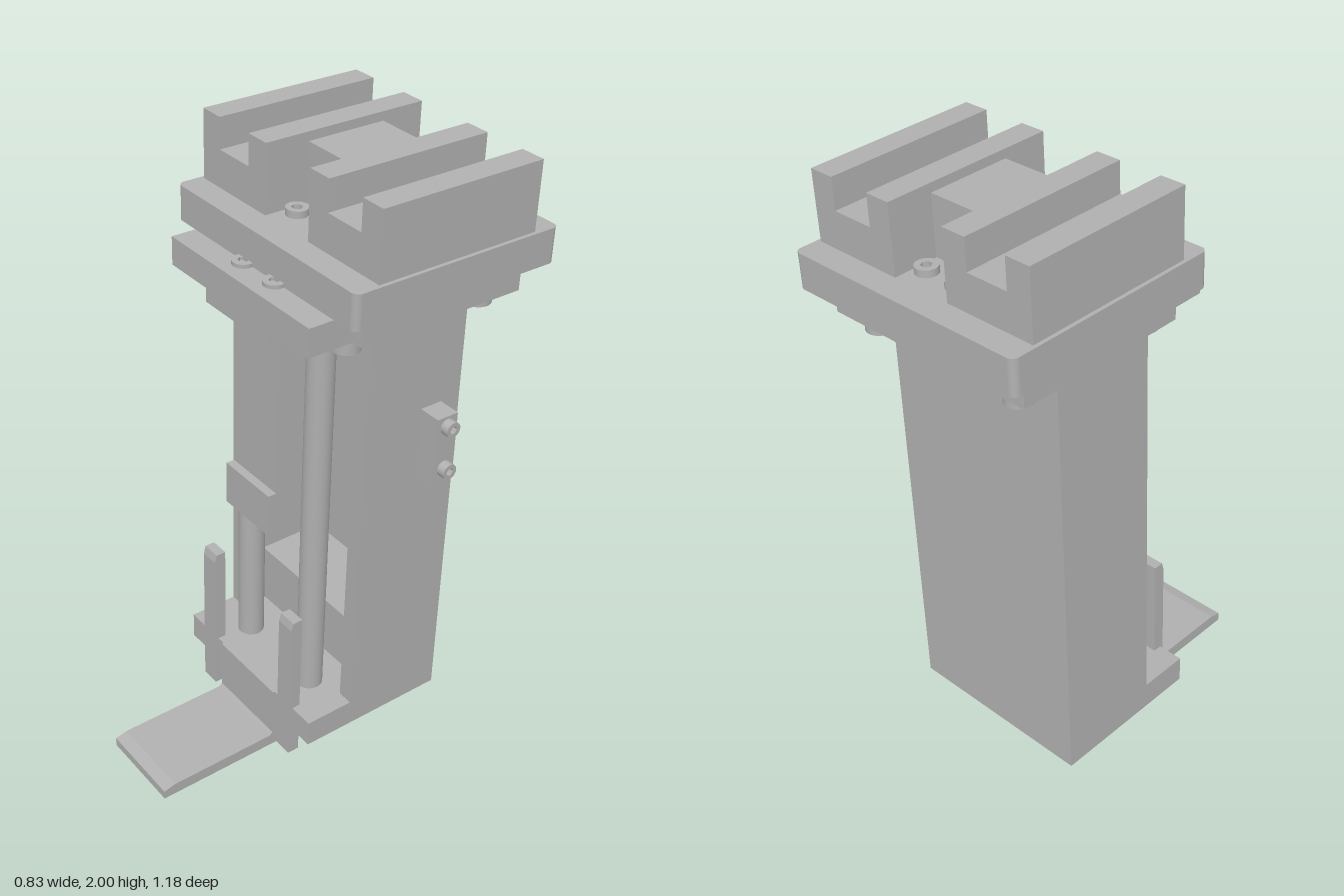
import * as THREE from 'three';

export function createModel() {
  const root = new THREE.Group();
  root.name = 'clampColumn';
  const steel = new THREE.MeshStandardMaterial({ color: 0xb0b0b0 });
  steel.name = 'plainSteel';
  const body = new THREE.Group();
  body.name = 'leaningBody';
  body.rotation.z = -0.041; // the whole column leans slightly
  root.add(body);
  const MID = -0.0715; // centre line of the column

  function add(name, geometry, x = 0, y = 0, z = 0) {
    const mesh = new THREE.Mesh(geometry, steel);
    mesh.name = name;
    mesh.position.set(x, y, z);
    body.add(mesh);
    return mesh;
  }
  // box given by its limits on each axis
  const box = (name, x0, x1, y0, y1, z0, z1) =>
    add(name, new THREE.BoxGeometry(x1 - x0, y1 - y0, z1 - z0),
      (x0 + x1) / 2, (y0 + y1) / 2, (z0 + z1) / 2);
  const polygon = (pts) => new THREE.Shape(pts.map(([x, y]) => new THREE.Vector2(x, y)));
  const extrude = (shape, depth) =>
    new THREE.ExtrudeGeometry(shape, { depth, bevelEnabled: false, curveSegments: 24 });
  // socket head screw: y0 is the seat, the head points along the given direction
  const up = new THREE.Vector3(0, 0, 1);
  function screw(name, x, y, z, r, h, dir) {
    const ring = new THREE.Shape().absarc(0, 0, r, 0, Math.PI * 2);
    const hex = new THREE.Path();
    for (let i = 0; i <= 6; i++) {
      const a = -i * Math.PI / 3;
      hex[i ? 'lineTo' : 'moveTo'](Math.cos(a) * r * 0.5, Math.sin(a) * r * 0.5);
    }
    ring.holes.push(hex);
    const q = new THREE.Quaternion().setFromUnitVectors(up, new THREE.Vector3(...dir));
    add(name, extrude(ring, h), x, y, z).quaternion.copy(q);
    const floor = add(name + 'Socket', new THREE.CircleGeometry(r * 0.6, 6), x, y, z);
    floor.quaternion.copy(q);
    floor.position.addScaledVector(new THREE.Vector3(...dir), Math.min(0.002, h / 2));
  }
  const UP = [0, 1, 0], DOWN = [0, -1, 0], RIGHT = [1, 0, 0];

  // Housing: open-fronted box with a raised floor block
  const frame = polygon([[-0.394, 0.137], [0.251, 0.137], [0.251, 1.57], [-0.394, 1.57]]);
  frame.holes.push(polygon([[-0.346, 0.227], [-0.346, 1.403], [0.199, 1.403], [0.199, 0.227]]));
  add('housingWalls', extrude(frame, 0.32), 0, 0, -0.32);
  box('housingBack', -0.394, 0.251, 0.137, 1.57, -0.35, -0.32);
  box('housingFloorBlock', -0.346, 0.199, 0.227, 0.432, -0.32, -0.09);
  box('baseLedge', -0.394, 0.251, 0.137, 0.227, 0, 0.165);

  // Guide rods with screws below the ledge, and screws under the flange
  for (const side of [-1, 1]) {
    const rodX = MID + side * 0.161;
    add('guideRod', new THREE.CylinderGeometry(0.043, 0.043, 1.35, 32), rodX, 0.9, 0.041);
    screw('rodScrew', rodX, 0.137, 0.037, 0.035, 0.038, DOWN);
    for (const z of [0.043, -0.437])
      screw('flangeScrew', MID + side * 0.27, 1.567, z, 0.043, 0.05, DOWN);
    for (const z of [-0.27, -0.11])
      screw('bottomScrew', MID + side * 0.26, 0.137, z, 0.03, 0.003, DOWN);
    // upright fingers beside the foot, with chamfered tips
    const finger = polygon([[0.137, 0.038], [0.177, 0.038], [0.177, 0.55], [0.17, 0.577], [0.137, 0.577]]);
    const f = add('uprightFinger', extrude(finger, 0.064), MID + side * 0.2055 + 0.032, 0, 0);
    f.rotation.y = -Math.PI / 2;
  }

  // Sliding block between the rods
  box('slider', -0.18, 0.036, 0.835, 1.54, 0.06, 0.148);
  box('sliderLip', -0.18, 0.036, 0.835, 0.978, 0.06, 0.176);

  // Bent foot bracket
  const foot = polygon([[0.13, 0.003], [0.59, 0.003], [0.59, 0.033], [0.55, 0.043],
    [0.182, 0.043], [0.172, 0.053], [0.172, 0.227], [0.13, 0.227]]);
  add('footBracket', extrude(foot, 0.289), 0.073, 0, 0).rotation.y = -Math.PI / 2;

  // Flange and front cross block with its tongue
  box('flange', -0.436, 0.288, 1.567, 1.657, -0.51, 0.065);
  box('crossBlock', -0.396, 0.253, 1.567, 1.657, 0.065, 0.215);
  box('crossBlockTongue', -0.223, 0.083, 1.523, 1.567, 0, 0.215);

  // Top plate with rounded corners
  const w = 0.4125, d = 0.36, r = 0.022, plate = new THREE.Shape();
  plate.absarc(w - r, d - r, r, 0, Math.PI / 2);
  plate.absarc(-w + r, d - r, r, Math.PI / 2, Math.PI);
  plate.absarc(-w + r, -d + r, r, Math.PI, Math.PI * 1.5);
  plate.absarc(w - r, -d + r, r, Math.PI * 1.5, Math.PI * 2);
  add('topPlate', extrude(plate, 0.11), MID - 0.001, 1.657, -0.226).rotation.x = -Math.PI / 2;

  // Pair of slotted jaws
  const jaw = [[0.0985, 1.767], [0.4005, 1.767], [0.4005, 1.981], [0.319, 1.981],
    [0.319, 1.884], [0.18, 1.884], [0.18, 1.981], [0.0985, 1.981]];
  for (const side of [-1, 1]) {
    const pts = jaw.map(([x, y]) => [side * x, y]);
    add('slottedJaw', extrude(polygon(pts), 0.555), MID - 0.001, 0, -0.505);
    for (const z of [-0.43, -0.03])
      screw('plateScrew', MID + side * 0.058, 1.767, z, 0.034, 0.022, UP);
    screw('crossBlockScrew', MID + side * 0.073, 1.657, 0.142, 0.034, 0.012, UP);
  }

  // Bored block between the jaws
  const bored = polygon([[-0.17, 1.767], [0.027, 1.767], [0.027, 1.953], [-0.17, 1.953]]);
  bored.holes.push(new THREE.Path().absarc(-0.0755, 1.845, 0.056, 0, Math.PI * 2, true));
  add('boredBlock', extrude(bored, 0.266), 0, 0, -0.361);

  // Small side block with two screws
  box('sideBlock', 0.251, 0.325, 1.04, 1.258, -0.28, -0.205);
  for (const y of [1.08, 1.225]) screw('sideScrew', 0.325, y, -0.2425, 0.025, 0.028, RIGHT);

  return root;
}
